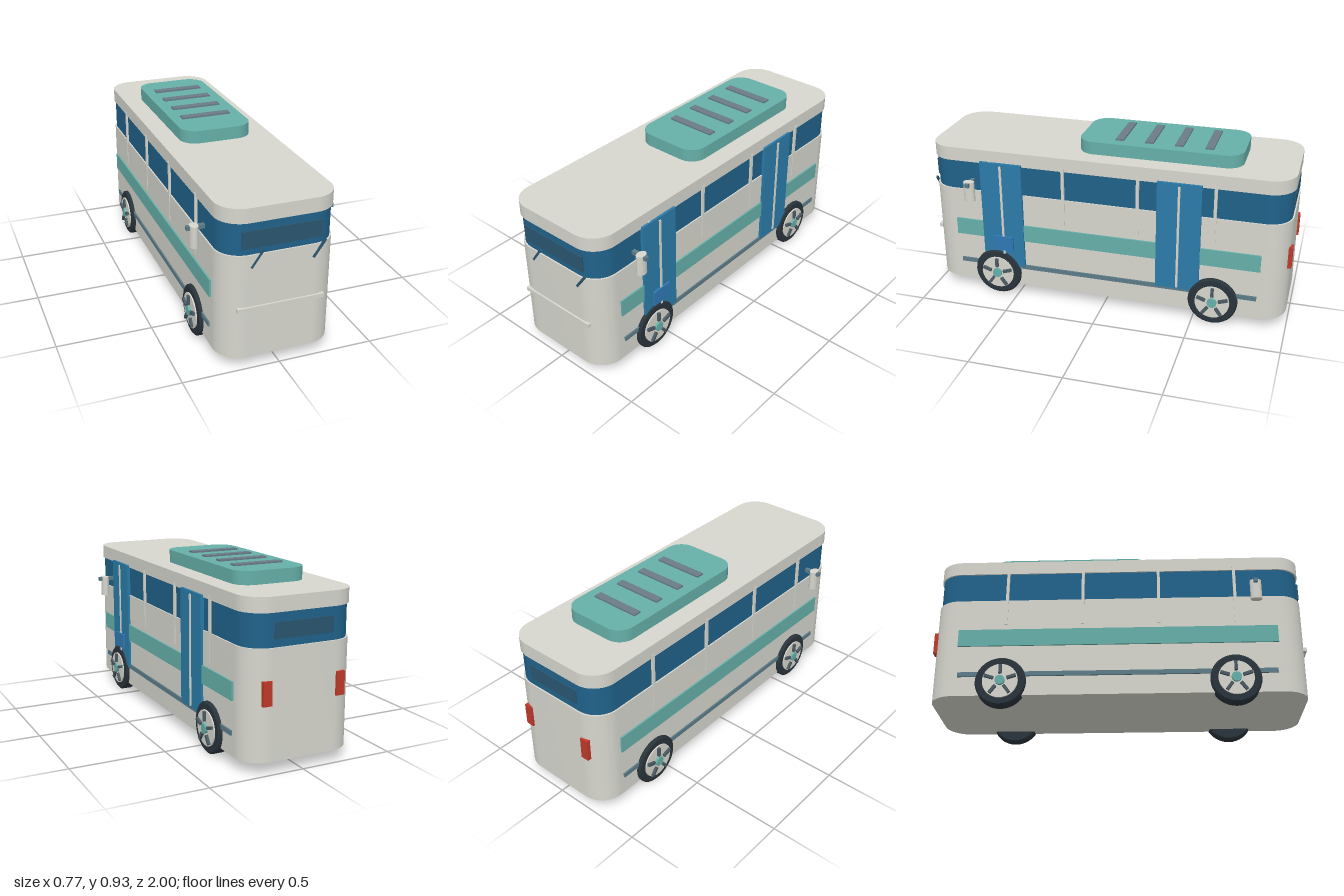
import * as THREE from 'three';
import { toCreasedNormals } from 'three/addons/utils/BufferGeometryUtils.js';

const material = (color) => new THREE.MeshStandardMaterial({ color });
const M = {
  body: material(0xd6d6ce), glass: material(0x20628a), door: material(0x2b7ca9),
  teal: material(0x66b0a9), trim: material(0x5d7c88), sign: material(0x2a5670),
  reader: material(0x2f78b5), tyre: material(0x29343b), vent: material(0x6a7c88),
  spoke: material(0x4b5a63), lamp: material(0xc0392b),
};

export function createModel() {
  const bus = new THREE.Group();
  bus.name = 'bus';

  const add = (name, geometry, mat, x = 0, y = 0, z = 0, parent = bus) => {
    const mesh = new THREE.Mesh(geometry, mat);
    mesh.name = name;
    mesh.position.set(x, y, z);
    parent.add(mesh);
    return mesh;
  };

  // Box given by its [min, max] range on each axis
  const box = (name, mat, [x0, x1], [y0, y1], [z0, z1]) =>
    add(name, new THREE.BoxGeometry(x1 - x0, y1 - y0, z1 - z0), mat,
      (x0 + x1) / 2, (y0 + y1) / 2, (z0 + z1) / 2);

  // Box on one flank: x range is measured outwards from the centre line
  const sideBox = (name, mat, side, [x0, x1], yRange, zRange) =>
    box(name, mat, side > 0 ? [x0, x1] : [-x1, -x0], yRange, zRange);

  // Upright slab with a rounded-rectangle plan
  const slab = (name, mat, w, l, r, y0, y1, z = 0) => {
    const a = w / 2, b = l / 2;
    const s = new THREE.Shape();
    s.absarc(a - r, b - r, r, 0, Math.PI / 2);
    s.absarc(r - a, b - r, r, Math.PI / 2, Math.PI);
    s.absarc(r - a, r - b, r, Math.PI, Math.PI * 1.5);
    s.absarc(a - r, r - b, r, Math.PI * 1.5, Math.PI * 2);
    s.closePath();
    const g = new THREE.ExtrudeGeometry(s, { depth: y1 - y0, bevelEnabled: false, curveSegments: 12 });
    g.rotateX(-Math.PI / 2);
    return add(name, toCreasedNormals(g, 0.6), mat, 0, y0, z);
  };

  // Shell
  slab('lowerBody', M.body, 0.6, 1.98, 0.13, 0.06, 0.613);
  slab('windowBand', M.glass, 0.585, 1.964, 0.125, 0.6, 0.79);
  slab('roof', M.body, 0.6, 1.98, 0.13, 0.778, 0.853);

  // Roof unit with vents
  slab('roofUnit', M.teal, 0.39, 0.88, 0.09, 0.853, 0.922, -0.27);
  for (const z of [-0.53, -0.37, -0.21, -0.05])
    box('roofVent', M.vent, [-0.137, 0.137], [0.915, 0.931], [z - 0.022, z + 0.022]);

  // Both flanks: stripe, rail and window posts
  for (const side of [1, -1]) {
    sideBox('sideStripe', M.teal, side, [0.295, 0.309], [0.34, 0.435], [-0.85, 0.845]);
    sideBox('sillRail', M.trim, side, [0.295, 0.308], [0.165, 0.19], [-0.84, 0.83]);
    for (const z of [-0.6, -0.19, 0.22, 0.63])
      sideBox('windowPost', M.body, side, [0.288, 0.304], [0.465, 0.797], [z - 0.008, z + 0.008]);
  }

  // Doors on the left flank
  for (const z of [0.567, -0.413]) {
    box('door', M.door, [0.295, 0.313], [0.18, 0.79], [z - 0.118, z + 0.118]);
    box('doorSeam', M.body, [0.31, 0.319], [0.19, 0.775], [z - 0.006, z + 0.006]);
  }
  box('doorPanel', M.reader, [0.31, 0.325], [0.275, 0.36], [0.51, 0.626]);

  // Front and rear fittings
  box('frontSign', M.sign, [-0.202, 0.202], [0.645, 0.735], [0.97, 0.987]);
  box('rearSign', M.sign, [-0.16, 0.16], [0.652, 0.732], [-0.987, -0.97]);
  box('frontBumper', M.body, [-0.225, 0.225], [0.32, 0.34], [0.98, 1.0]);
  for (const x of [-0.2, 0.2])
    box('tailLamp', M.lamp, [x - 0.023, x + 0.023], [0.34, 0.46], [-1.0, -0.975]);
  for (const [x, z] of [[0.19, 0.99], [-0.125, 0.986]]) {
    const wiper = add('wiper', new THREE.BoxGeometry(0.012, 0.105, 0.01), M.sign, x, 0.588, z);
    wiper.rotation.z = -0.61;
  }

  // Mirrors
  for (const side of [1, -1]) {
    sideBox('mirrorArm', M.trim, side, [0.285, 0.385], [0.66, 0.681], [0.725, 0.747]);
    const housing = add('mirrorHousing', new THREE.CylinderGeometry(0.022, 0.022, 0.112, 20),
      M.body, side * 0.347, 0.626, 0.738);
    housing.scale.z = 1.4;
  }

  // Wheels, built with the outer face towards +y and laid over to each flank
  const tyre = new THREE.LatheGeometry(
    [[0, 0], [0.125, 0], [0.133, 0.006], [0.133, 0.058], [0.125, 0.065], [0.097, 0.065], [0, 0.065]]
      .map(([r, y]) => new THREE.Vector2(r, y)), 36);
  const tyreGeometry = toCreasedNormals(tyre.toNonIndexed(), 0.6);
  for (const side of [1, -1]) for (const z of [0.61, -0.61]) {
    const wheel = new THREE.Group();
    wheel.name = 'wheel';
    wheel.position.set(side * 0.255, 0.133, z);
    wheel.rotation.z = -side * Math.PI / 2;
    bus.add(wheel);
    add('tyre', tyreGeometry, M.tyre, 0, 0, 0, wheel);
    add('rim', new THREE.CylinderGeometry(0.093, 0.093, 0.012, 32), M.body, 0, 0.066, 0, wheel);
    add('hubCap', new THREE.CylinderGeometry(0.026, 0.026, 0.024, 20), M.teal, 0, 0.073, 0, wheel);
    for (let i = 0; i < 5; i++) {
      // First spoke points straight up once the wheel is laid over
      const a = i * Math.PI * 2 / 5;
      const spoke = add('spoke', new THREE.BoxGeometry(0.05, 0.015, 0.016), M.spoke,
        -side * Math.cos(a) * 0.062, 0.078, Math.sin(a) * 0.062, wheel);
      spoke.rotation.y = side * a;
    }
  }

  return bus;
}
